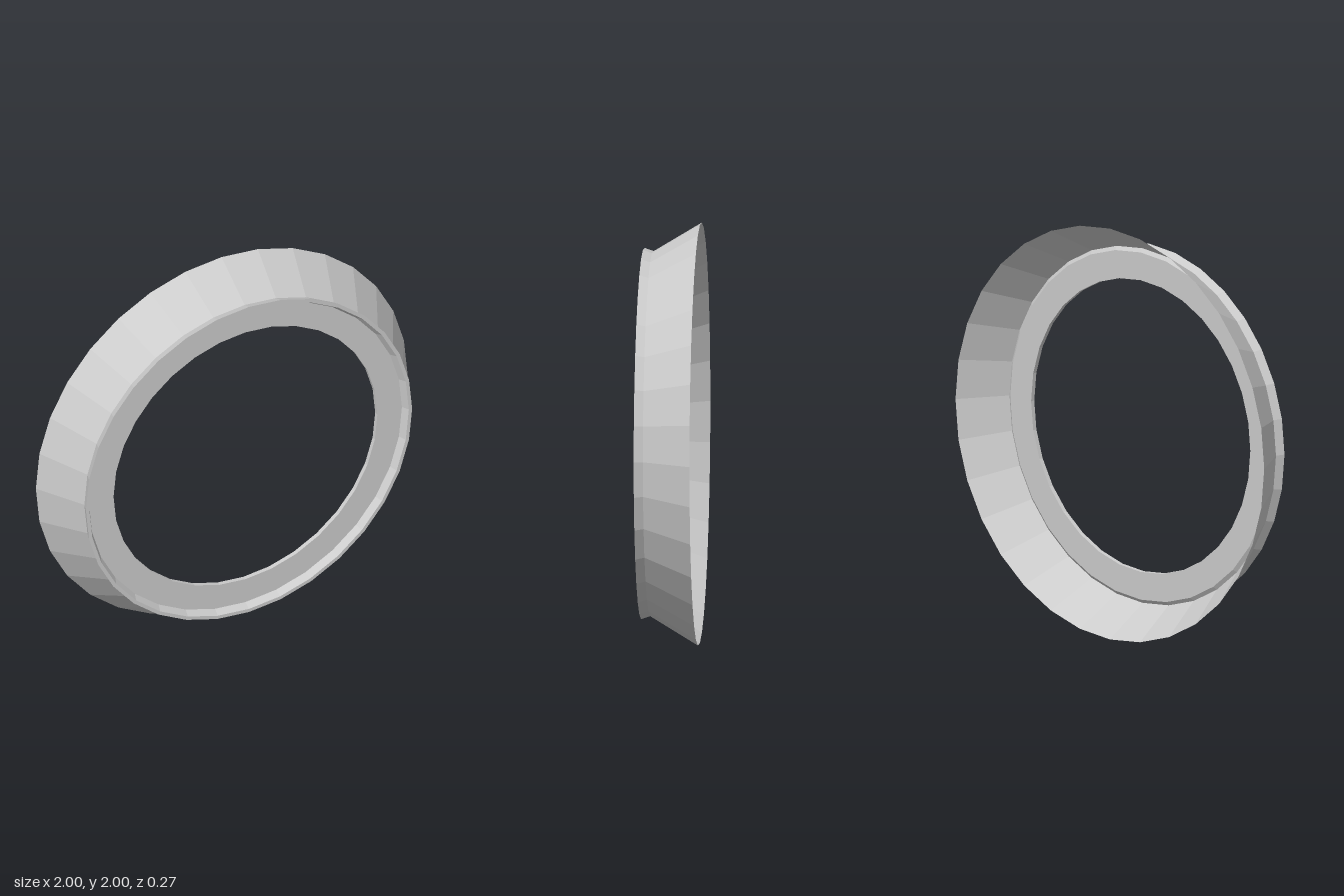
import * as THREE from 'three';

const SIDES = 32;

const material = new THREE.MeshStandardMaterial({
  color: 0xcccccc, flatShading: true, side: THREE.DoubleSide,
});

// Revolve a profile of [radius, z] points around the front-facing axis
function ring(name, profile) {
  const points = profile.map(([r, z]) => new THREE.Vector2(r, z));
  const geometry = new THREE.LatheGeometry(points, SIDES);
  geometry.rotateX(Math.PI / 2);
  const mesh = new THREE.Mesh(geometry, material);
  mesh.name = name;
  mesh.position.y = 1;
  return mesh;
}

export function createModel() {
  const group = new THREE.Group();
  group.name = 'flaredRing';

  // Thin conical skirt, widening to the back
  group.add(ring('flaredSkirt', [[1, -0.135], [0.863, 0.092]]));

  // Raised lip with a bevelled inner wall
  group.add(ring('frontLip', [
    [0.863, 0.092], [0.878, 0.135], [0.86, 0.135], [0.842, 0.1],
  ]));

  // Flat annular plate with a round opening and a bevelled back rim
  group.add(ring('innerPlate', [
    [0.842, 0.1], [0.71, 0.1], [0.71, 0.078], [0.845, 0.078], [0.863, 0.092],
  ]));

  return group;
}
